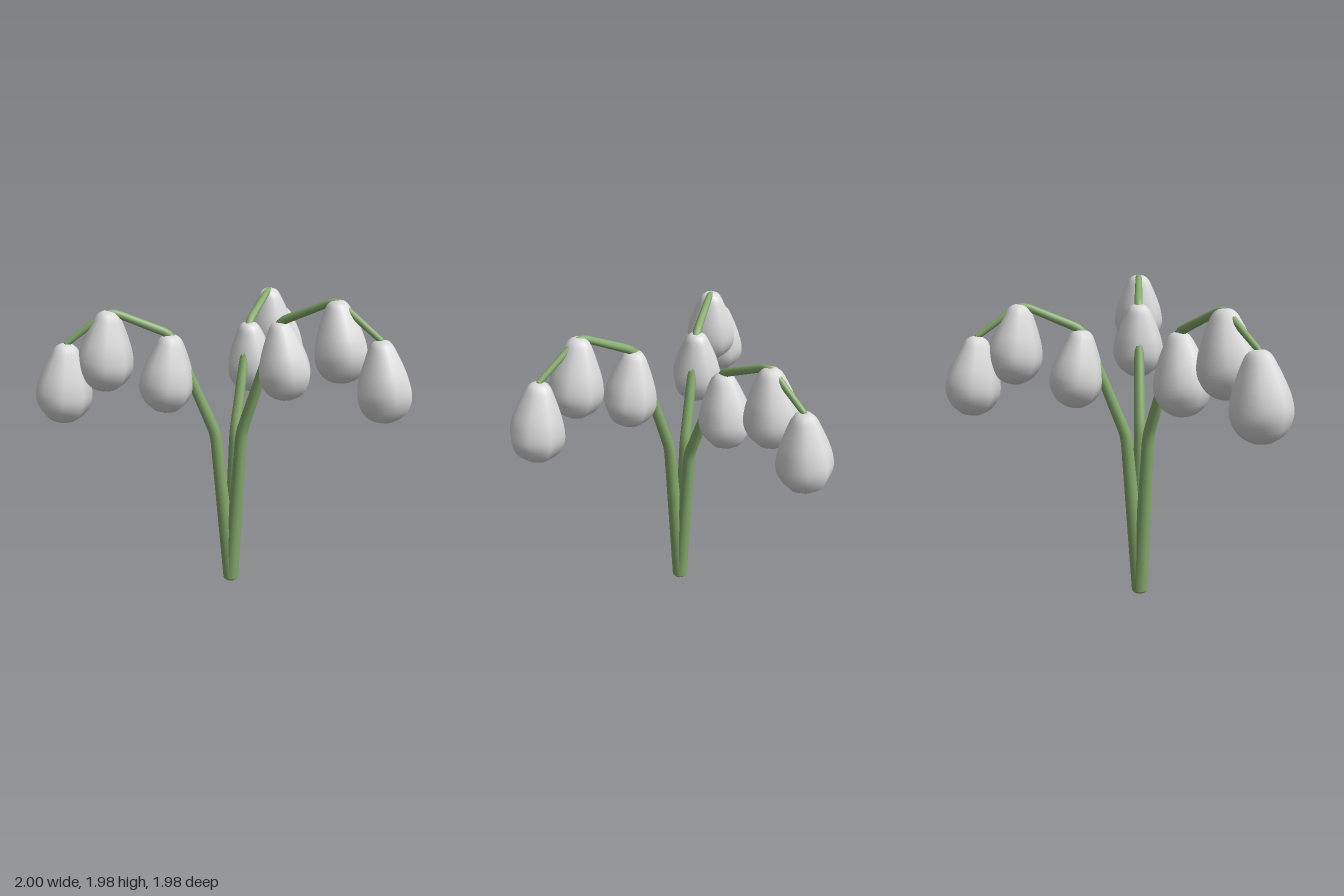
import * as THREE from 'three';

const green = new THREE.MeshStandardMaterial({ color: 0x86ab6e });
green.name = 'stemGreen';
const white = new THREE.MeshStandardMaterial({ color: 0xdadada });
white.name = 'petalWhite';

const V = (p) => new THREE.Vector3(...p);

// Polyline with softly rounded corners
function roundedPath(points, cut) {
  const path = new THREE.CurvePath();
  let from = points[0];
  for (let i = 1; i < points.length - 1; i++) {
    const p = points[i];
    const a = p.clone().add(points[i - 1].clone().sub(p).setLength(cut));
    const b = p.clone().add(points[i + 1].clone().sub(p).setLength(cut));
    path.add(new THREE.LineCurve3(from, a));
    path.add(new THREE.QuadraticBezierCurve3(a, p, b));
    from = b;
  }
  path.add(new THREE.LineCurve3(from, points[points.length - 1]));
  return path;
}

// Tube whose radius shrinks along its length, with rounded ends
function makeStem(points, r0, r1) {
  const group = new THREE.Group();
  group.name = 'stem';
  const path = roundedPath(points, 0.06);
  const steps = 90, sides = 12;
  const geo = new THREE.TubeGeometry(path, steps, 1, sides, false);
  const pos = geo.attributes.position;
  const v = new THREE.Vector3();
  for (let i = 0; i <= steps; i++) {
    const c = path.getPointAt(i / steps);
    const r = THREE.MathUtils.lerp(r0, r1, i / steps);
    for (let j = 0; j <= sides; j++) {
      const k = i * (sides + 1) + j;
      v.fromBufferAttribute(pos, k).sub(c).multiplyScalar(r).add(c);
      pos.setXYZ(k, v.x, v.y, v.z);
    }
  }
  const tube = new THREE.Mesh(geo, green);
  tube.name = 'stemTube';
  group.add(tube);
  [[points[0], r0, 0.6], [points[points.length - 1], r1, 1]].forEach(([p, r, flat]) => {
    const cap = new THREE.Mesh(new THREE.SphereGeometry(r, 12, 8), green);
    cap.name = 'stemEnd';
    cap.position.copy(p);
    cap.scale.y = flat;
    group.add(cap);
  });
  return group;
}

// Eight-sided drop-shaped blossom, hanging from its origin
const outline = new THREE.SplineCurve([
  [0.001, -0.468], [0.06, -0.458], [0.115, -0.42], [0.15, -0.36], [0.16, -0.3],
  [0.148, -0.225], [0.122, -0.15], [0.092, -0.08], [0.065, -0.028], [0.035, -0.004], [0.001, 0],
].map((p) => new THREE.Vector2(...p)));
const blossomGeo = new THREE.LatheGeometry(outline.getPoints(30), 8);

// Each stalk: bend, first joint, crest, tip, and blossom scale
const base = [-0.15, 0.03, 0.12];
const stalks = [
  { name: 'leftStalk', pts: [[-0.06, 1.08, 0.105], [0.19, 1.81, 0.06], [0.54, 1.97, 0.015], [0.80, 1.775, -0.03]], size: 1 },
  { name: 'backStalk', pts: [[-0.165, 1.04, 0.035], [-0.24, 1.695, -0.215], [-0.33, 1.845, -0.56], [-0.40, 1.665, -0.80]], size: 1 },
  { name: 'frontRightStalk', pts: [[-0.21, 1.06, 0.175], [-0.38, 1.71, 0.36], [-0.625, 1.865, 0.615], [-0.805, 1.68, 0.795]], size: 1.03 },
];

export function createModel() {
  const model = new THREE.Group();
  model.name = 'hangingBlossoms';
  for (const { name, pts, size } of stalks) {
    const stalk = new THREE.Group();
    stalk.name = name;
    stalk.add(makeStem([base, ...pts].map(V), 0.051, 0.017));
    // Blossoms lean slightly outward along the stalk's direction
    const dx = pts[3][0] - pts[1][0], dz = pts[3][2] - pts[1][2];
    pts.slice(1).forEach((p) => {
      const blossom = new THREE.Mesh(blossomGeo, white);
      blossom.name = 'blossom';
      blossom.position.set(p[0], p[1], p[2]);
      blossom.rotation.set(0, Math.atan2(-dz, dx), 0.13, 'YXZ');
      blossom.scale.setScalar(size);
      stalk.add(blossom);
    });
    model.add(stalk);
  }
  return model;
}
